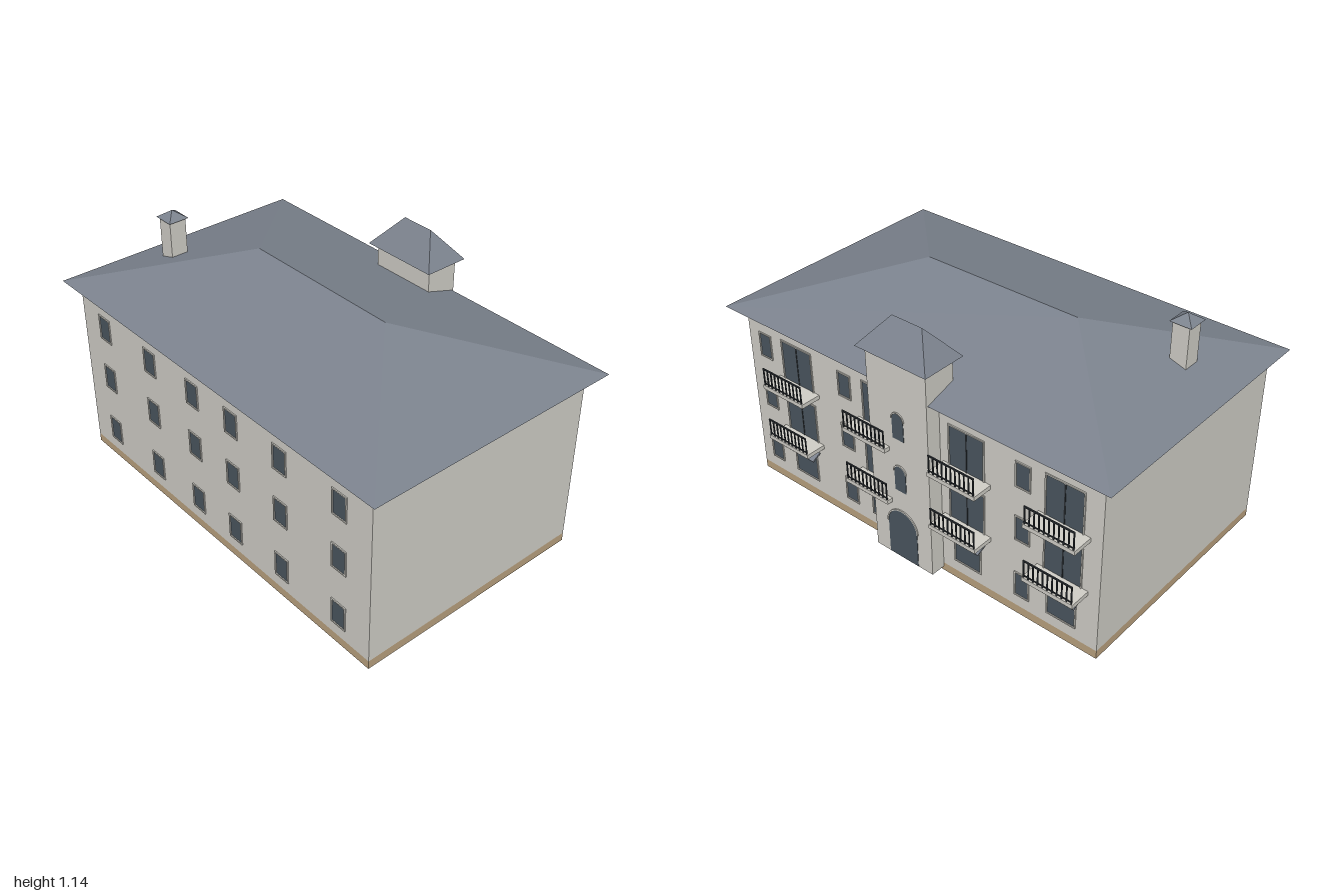
import * as THREE from 'three';

const mat = (name, color) => new THREE.MeshStandardMaterial({ name, color });

export function createModel() {
  const plaster = mat('plaster', 0xcfcdc6);
  const slate = mat('slate', 0x7b828d);
  const stone = mat('plinth stone', 0xb8a07e);
  const glass = mat('window glass', 0x4a555e);
  const iron = mat('dark iron', 0x2b3035);
  const root = new THREE.Group();
  root.name = 'apartmentHouse';

  const add = (name, geometry, material, parent = root) => {
    const m = new THREE.Mesh(geometry, material);
    m.name = name;
    parent.add(m);
    return m;
  };
  // box given by its min and max on each axis
  const box = (name, material, x0, x1, y0, y1, z0, z1, parent) => {
    const m = add(name, new THREE.BoxGeometry(x1 - x0, y1 - y0, z1 - z0), material, parent);
    m.position.set((x0 + x1) / 2, (y0 + y1) / 2, (z0 + z1) / 2);
    return m;
  };
  // hipped roof over a rectangle; the ridge runs along x from r0 to r1
  const hip = (name, x0, x1, z0, z1, y0, y1, r0, r1, rz) => {
    const a = [x0, y0, z1], b = [x1, y0, z1], c = [x1, y0, z0], d = [x0, y0, z0];
    const p = [r0, y1, rz], q = [r1, y1, rz];
    const tris = [a, b, q, a, q, p, b, c, q, c, d, p, c, p, q, d, a, p, a, d, c, a, c, b];
    const g = new THREE.BufferGeometry();
    g.setAttribute('position', new THREE.Float32BufferAttribute(tris.flat(), 3));
    g.computeVertexNormals();
    return add(name, g, slate);
  };

  // main block
  const X = 0.938, ZF = 0.577, ZB = -0.535;
  box('plinth', stone, -X, X, 0, 0.04, ZB, ZF);
  box('walls', plaster, -X, X, 0.04, 0.856, ZB, ZF);
  hip('mainRoof', -1, 1, -0.597, 0.63, 0.855, 1.05, -0.39, 0.387, 0.018);

  // chimney
  box('chimney', plaster, -0.808, -0.732, 0.88, 1.105, 0.152, 0.232);
  hip('chimneyCap', -0.822, -0.722, 0.142, 0.24, 1.105, 1.14, -0.7721, -0.7719, 0.191);

  // stair tower
  const TZ = -0.604;
  box('stairTower', plaster, -0.16, 0.153, 0.02, 1.006, TZ, -0.452);
  hip('towerRoof', -0.187, 0.18, -0.632, -0.421, 1.005, 1.135, -0.08, 0.073, -0.528);

  // wall-mounted details face +z inside a group that is turned for the back wall
  const mount = (name, x, y, z, back) => {
    const g = new THREE.Group();
    g.name = name;
    g.position.set(x, y, z);
    if (back) g.rotation.y = Math.PI;
    root.add(g);
    return g;
  };
  // rectangular window: pane and a raised surround
  const windowAt = (name, x, y, z, w, h, back) => {
    const g = mount(name, x, y, z, back);
    box('pane', glass, -w / 2, w / 2, -h / 2, h / 2, -0.004, 0.001, g);
    const t = 0.006, a = w / 2, b = h / 2;
    for (const s of [-1, 1]) {
      const side = box('surroundSide', plaster, -t / 2, t / 2, -b - t, b + t, -0.002, 0.005, g);
      side.position.x = s * (a + t / 2);
      const rail = box('surroundRail', plaster, -a, a, -t / 2, t / 2, -0.002, 0.005, g);
      rail.position.y = s * (b + t / 2);
    }
    return g;
  };

  // front windows
  const floors = [0.155, 0.437, 0.694];
  for (const y of floors)
    for (const x of [-0.77, -0.43, -0.13, 0.126, 0.425, 0.765])
      windowAt('frontWindow', x, y, ZF, 0.07, 0.108, false);

  // back bays: small windows, balcony doors, balconies, canopies
  for (const x of [0.645, 0.17, -0.295, -0.765]) {
    if (x !== -0.295)
      for (const y of floors) windowAt('backWindow', x + 0.193, y, ZB, 0.062, 0.108, true);

    windowAt('wideWindow', x, 0.159, ZB, 0.13, 0.118, true);
    const canopy = add('canopy', new THREE.BoxGeometry(0.18, 0.007, 0.05), slate);
    canopy.position.set(x, 0.246, -0.557);
    canopy.rotation.x = -0.49;

    for (const y of [0.315, 0.575]) {
      const door = windowAt('balconyDoor', x, y + 0.093, ZB, 0.17, 0.186, true);
      box('doorMullion', iron, -0.003, 0.003, -0.093, 0.093, 0, 0.003, door);

      const b = mount('balcony', x, y, ZB, true);
      box('slab', plaster, -0.12, 0.12, -0.019, 0, 0, 0.097, b);
      box('handrail', iron, -0.115, 0.115, 0.078, 0.084, 0.09, 0.096, b);
      box('bottomRail', iron, -0.115, 0.115, 0.008, 0.012, 0.091, 0.095, b);
      for (let i = 0; i < 11; i++) {
        const px = -0.112 + i * 0.0224;
        box('baluster', iron, px - 0.0025, px + 0.0025, 0, 0.08, 0.09, 0.095, b);
      }
    }
  }

  // arched openings on the tower: pane plus a half-ring hood
  const archAt = (name, y0, spring, r, t) => {
    const g = mount(name, -0.003, 0, TZ, true);
    const pane = new THREE.Shape();
    pane.moveTo(-r, y0);
    pane.lineTo(r, y0);
    pane.lineTo(r, spring);
    pane.absarc(0, spring, r, 0, Math.PI, false);
    const plate = { depth: 0.002, bevelEnabled: false, curveSegments: 16 };
    add('archPane', new THREE.ExtrudeGeometry(pane, plate), glass, g);
    const hood = new THREE.Shape();
    hood.absarc(0, spring, r + t, 0, Math.PI, false);
    hood.absarc(0, spring, r, Math.PI, 0, true);
    add('archHood', new THREE.ExtrudeGeometry(hood, { ...plate, depth: 0.005 }), plaster, g);
  };
  archAt('entrance', 0.022, 0.19, 0.079, 0.006);
  archAt('towerWindow', 0.375, 0.47, 0.03, 0.005);
  archAt('towerWindow', 0.632, 0.726, 0.03, 0.005);

  return root;
}
